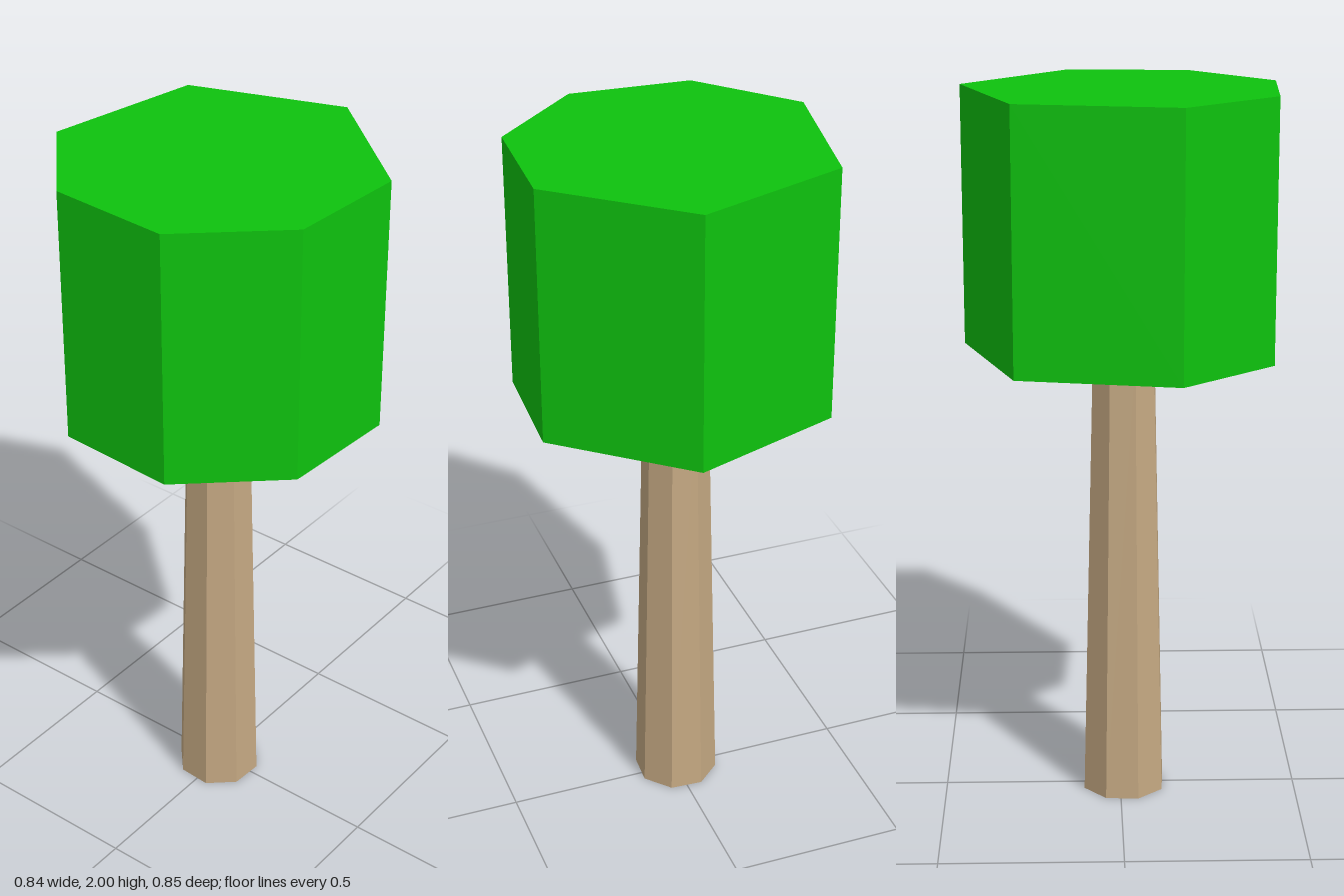
import * as THREE from 'three';

export function createModel() {
  const group = new THREE.Group();
  const trunkHeight = 1.29;
  const crownHeight = 0.71;

  // Trunk: tapered eight-sided tube, open at both ends
  const trunk = new THREE.Mesh(
    new THREE.CylinderGeometry(0.09, 0.12, trunkHeight, 8, 1, true, THREE.MathUtils.degToRad(19.1)),
    new THREE.MeshStandardMaterial({ color: 0xc4a882, flatShading: true, side: THREE.DoubleSide })
  );
  trunk.name = 'trunk';
  trunk.position.set(-0.005, trunkHeight / 2, 0.01);
  group.add(trunk);

  // Crown: seven-sided prism, outline given as x, z pairs
  const outline = [
    [-0.418, 0.152], [-0.195, 0.405], [0.145, 0.425], [0.397, 0.2],
    [0.417, -0.14], [0.083, -0.427], [-0.335, -0.283],
  ].map(([x, z]) => new THREE.Vector2(x, -z));
  const crownGeometry = new THREE.ExtrudeGeometry(new THREE.Shape(outline), {
    depth: crownHeight, bevelEnabled: false,
  });
  crownGeometry.rotateX(-Math.PI / 2);
  const crown = new THREE.Mesh(
    crownGeometry,
    new THREE.MeshStandardMaterial({ color: 0x0ec20e, flatShading: true })
  );
  crown.name = 'crown';
  crown.position.y = trunkHeight;
  group.add(crown);

  return group;
}
